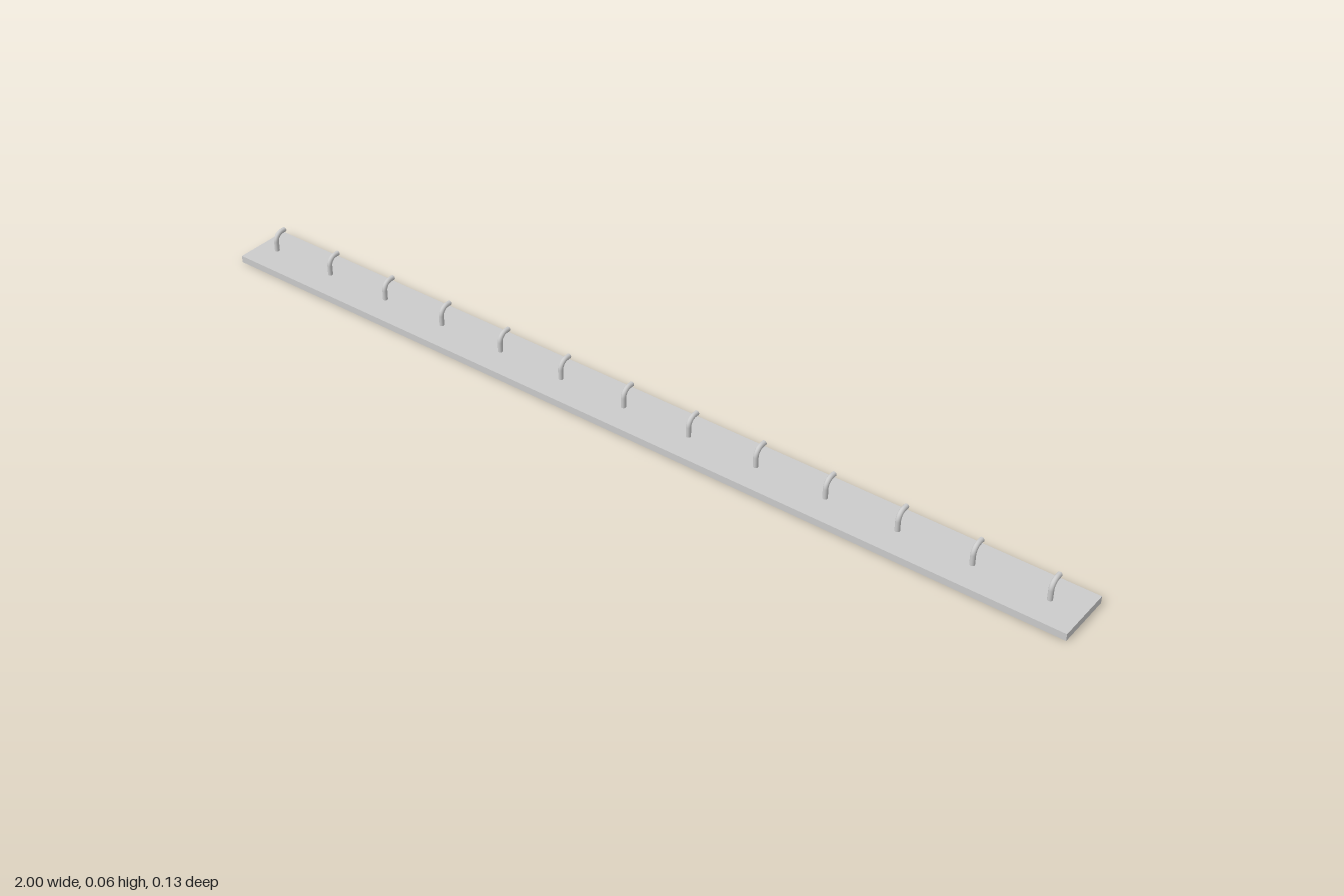
import * as THREE from 'three';

export function createModel() {
  const group = new THREE.Group();
  const material = new THREE.MeshStandardMaterial({ color: 0xcccccc });

  // Flat backing rail
  const thickness = 0.0155;
  const rail = new THREE.Mesh(new THREE.BoxGeometry(2, thickness, 0.126), material);
  rail.name = 'rail';
  rail.position.y = thickness / 2;
  group.add(rail);

  // Hook path: straight stem, quarter bend, short tip towards the back
  const r = 0.0053, top = 0.0555, bend = 0.018, tip = -0.027, k = bend * 0.4477;
  const v = (y, z) => new THREE.Vector3(0, y, z);
  const path = new THREE.CurvePath();
  path.add(new THREE.LineCurve3(v(thickness - 0.002, 0), v(top - bend, 0)));
  path.add(new THREE.CubicBezierCurve3(v(top - bend, 0), v(top - k, 0), v(top, -k), v(top, -bend)));
  path.add(new THREE.LineCurve3(v(top, -bend), v(top, tip)));
  const hookGeometry = new THREE.TubeGeometry(path, 28, r, 16);
  const capGeometry = new THREE.CircleGeometry(r, 16).rotateY(Math.PI).translate(0, top, tip);

  // Row of evenly spaced hooks
  const count = 13, first = -0.956, spacing = 0.1573;
  for (let i = 0; i < count; i++) {
    const hook = new THREE.Group();
    hook.name = `hook${i + 1}`;
    const rod = new THREE.Mesh(hookGeometry, material);
    rod.name = 'hookRod';
    const cap = new THREE.Mesh(capGeometry, material);
    cap.name = 'hookEnd';
    hook.add(rod, cap);
    hook.position.x = first + i * spacing;
    group.add(hook);
  }
  return group;
}
